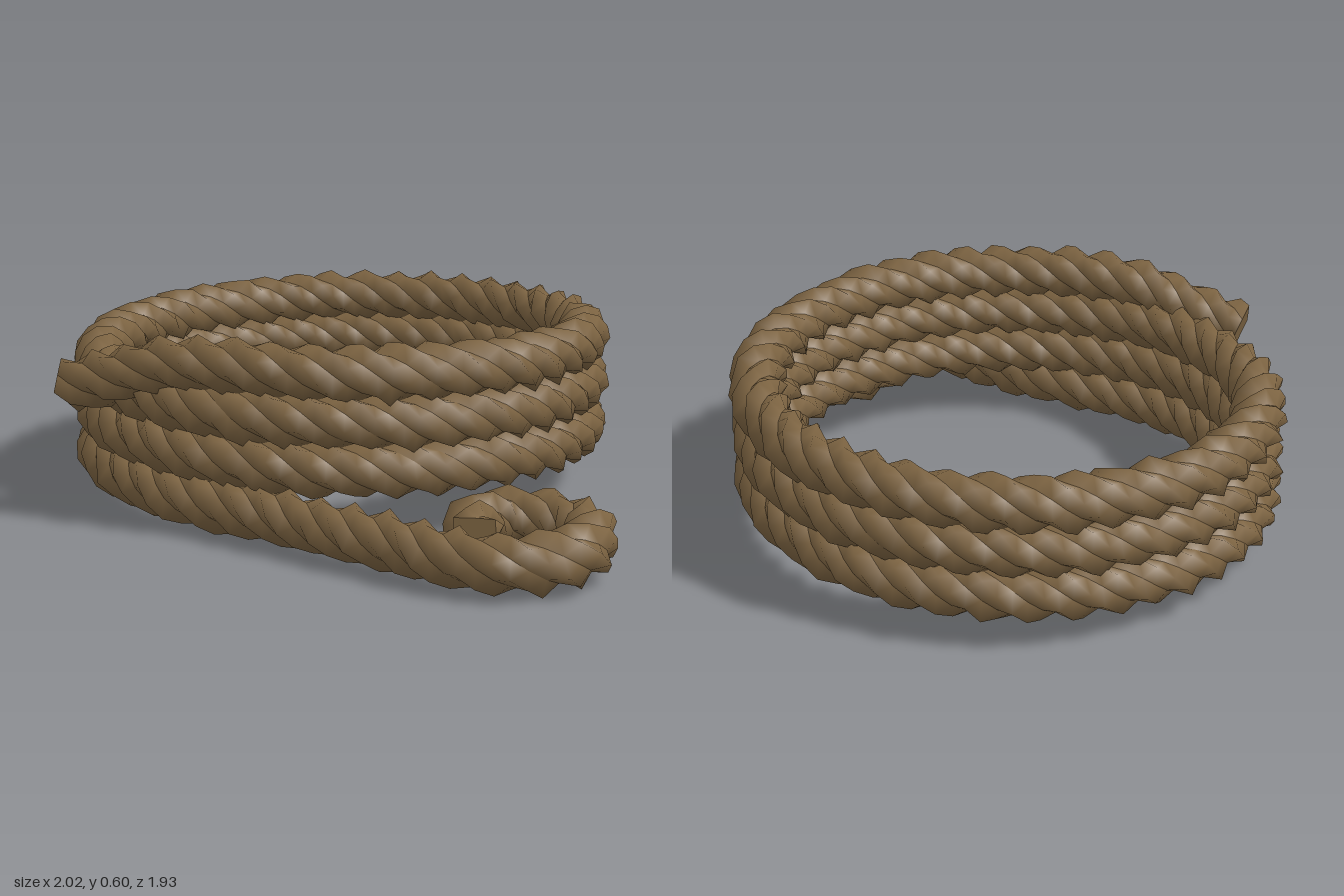
import * as THREE from 'three';

const ROPE_RADIUS = 0.087;   // at the strand ridges
const GROOVE_RADIUS = 0.06;  // between the strands
const STRANDS = 4;
const TWIST_PITCH = 0.48;    // length of one full twist
const RING_STEP = 0.04;

// Seeded random numbers for the rough fibre edges
function makeRandom(seed) {
  return () => (seed = (seed * 16807) % 2147483647) / 2147483647;
}

// Centre line: curled tail on the ground, three rising turns, loose top end
function ropePath() {
  const points = [];
  const tail = [
    [0.615, 0.69], [0.565, 0.58], [0.62, 0.45], [0.75, 0.42], [0.87, 0.48],
    [0.92, 0.6], [0.915, 0.74], [0.84, 0.835], [0.69, 0.88], [0.45, 0.825],
    [0.2, 0.765], [0, 0.71],
  ];
  for (const [x, z] of tail) points.push(new THREE.Vector3(x, 0.093, z));

  const turns = 3, steps = 24, radius = 0.772, pitch = 0.141;
  for (let i = 1; i <= turns * steps; i++) {
    const t = i / steps, a = t * Math.PI * 2;
    points.push(new THREE.Vector3(
      -0.145 - radius * Math.sin(a), 0.093 + pitch * t, -0.1 + radius * Math.cos(a)));
  }
  points.push(
    new THREE.Vector3(-0.36, 0.5, 0.67),
    new THREE.Vector3(-0.54, 0.45, 0.66),
    new THREE.Vector3(-0.71, 0.405, 0.65));
  const curve = new THREE.CatmullRomCurve3(points, false, 'centripetal');
  curve.arcLengthDivisions = 3000;
  return curve;
}

// Sweep the strands along the path, turning them as they go.
// Each strand has its own groove vertices, so the grooves stay sharp.
function twistedRope(curve) {
  const random = makeRandom(71);
  const length = curve.getLength();
  const rings = Math.round(length / RING_STEP);
  const perRing = STRANDS * 3;
  const positions = [], indices = [];
  const up = new THREE.Vector3(0, 1, 0);

  for (let i = 0; i <= rings; i++) {
    const u = i / rings;
    const centre = curve.getPointAt(u);
    const tangent = curve.getTangentAt(u);
    const side = new THREE.Vector3().crossVectors(tangent, up).normalize();
    const normal = new THREE.Vector3().crossVectors(side, tangent);
    const twist = (u * length / TWIST_PITCH) * Math.PI * 2;
    for (let s = 0; s < STRANDS; s++) {
      for (let k = 0; k < 3; k++) {
        const a = twist + ((s + k / 2) / STRANDS) * Math.PI * 2;
        const r = k === 1 ? ROPE_RADIUS + (random() - 0.5) * 0.016 : GROOVE_RADIUS;
        const p = centre.clone()
          .addScaledVector(normal, r * Math.cos(a))
          .addScaledVector(side, r * Math.sin(a));
        positions.push(p.x, Math.max(p.y, 0), p.z);
      }
    }
  }
  for (let i = 0; i < rings; i++) {
    for (let s = 0; s < STRANDS; s++) {
      for (let k = 0; k < 2; k++) {
        const a = i * perRing + s * 3 + k, c = a + perRing;
        indices.push(a, a + 1, c, a + 1, c + 1, c);
      }
    }
  }
  // Cut ends, with their own vertices for a sharp rim
  for (const u of [0, 1]) {
    const start = u * rings * perRing * 3;
    const rim = positions.slice(start, start + perRing * 3);
    const centre = positions.length / 3;
    positions.push(...curve.getPointAt(u).toArray(), ...rim);
    for (let j = 0; j < perRing; j++) {
      const a = centre + 1 + j, b = centre + 1 + (j + 1) % perRing;
      if (u === 0) indices.push(centre, b, a);
      else indices.push(centre, a, b);
    }
  }
  const geometry = new THREE.BufferGeometry();
  geometry.setAttribute('position', new THREE.Float32BufferAttribute(positions, 3));
  geometry.setIndex(indices);
  geometry.computeVertexNormals();
  return geometry;
}

export function createModel() {
  const group = new THREE.Group();
  group.name = 'coiledRope';
  const hemp = new THREE.MeshStandardMaterial({ color: 0x7d6442 });
  hemp.name = 'hempBrown';
  const rope = new THREE.Mesh(twistedRope(ropePath()), hemp);
  rope.name = 'rope';
  group.add(rope);
  return group;
}
